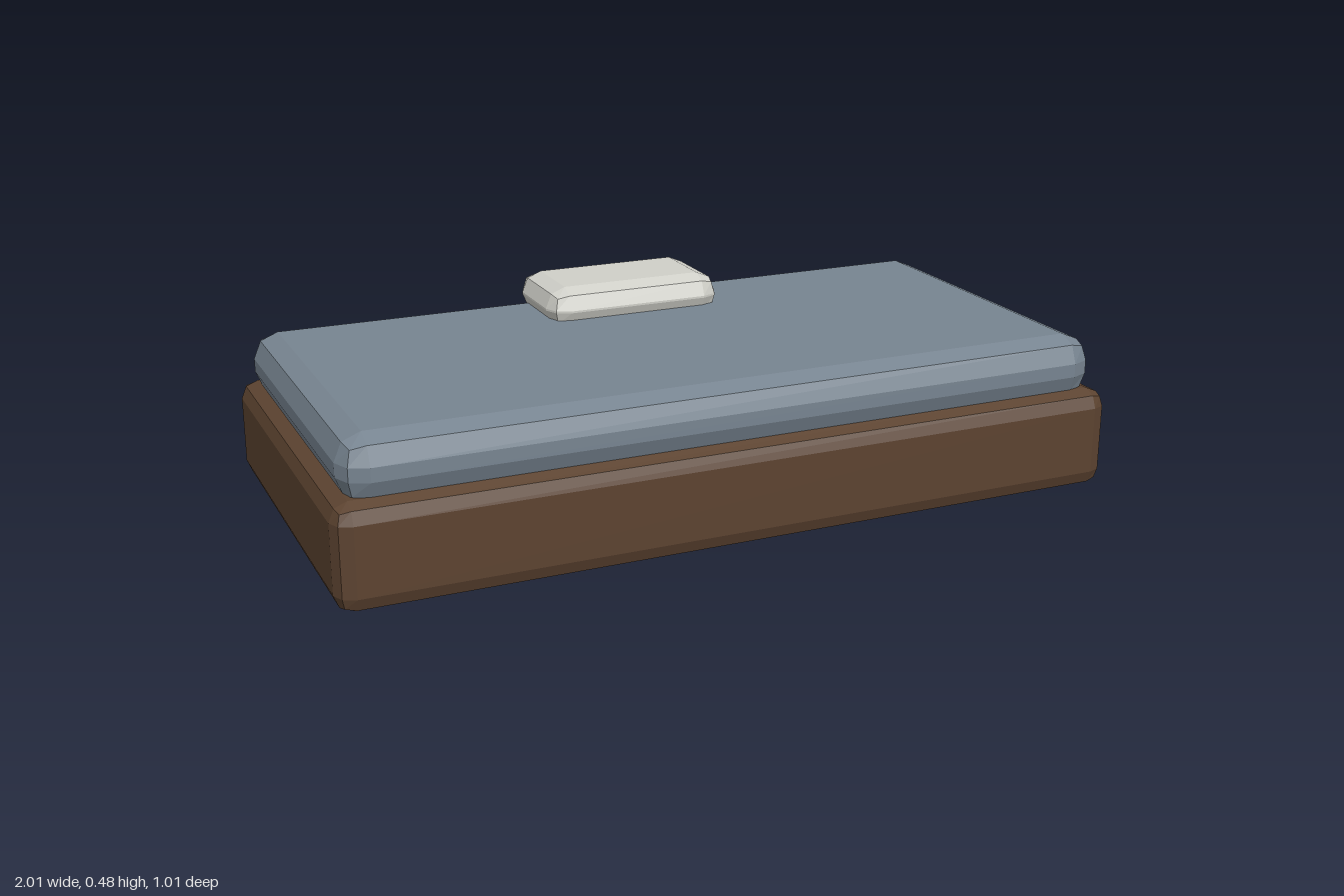
import * as THREE from 'three';
import { RoundedBoxGeometry } from 'three/addons/geometries/RoundedBoxGeometry.js';

// A one-segment rounded box reaches only this share of its radius past the core
const REACH = 3 / Math.sqrt(11);

// Faceted soft box with exact outer size, standing on y = bottom
function softBox(name, color, [w, h, d], radius, bottom, z = 0) {
  const grow = 2 * radius * (1 - REACH);
  const geometry = new RoundedBoxGeometry(w + grow, h + grow, d + grow, 1, radius);
  const material = new THREE.MeshStandardMaterial({ color, flatShading: true });
  const mesh = new THREE.Mesh(geometry, material);
  mesh.name = name;
  mesh.position.set(0, bottom + h / 2, z);
  return mesh;
}

export function createModel() {
  const bed = new THREE.Group();
  bed.name = 'bed';
  bed.add(
    // wooden base
    softBox('bedFrame', 0x5c4330, [2, 0.25, 1], 0.044, 0),
    // mattress, sunk slightly into the base
    softBox('mattress', 0x778490, [1.936, 0.15, 0.94], 0.064, 0.235),
    // pillow at the back edge, sunk slightly into the mattress
    softBox('pillow', 0xcfcfc8, [0.474, 0.101, 0.278], 0.053, 0.365, -0.339),
  );
  return bed;
}
